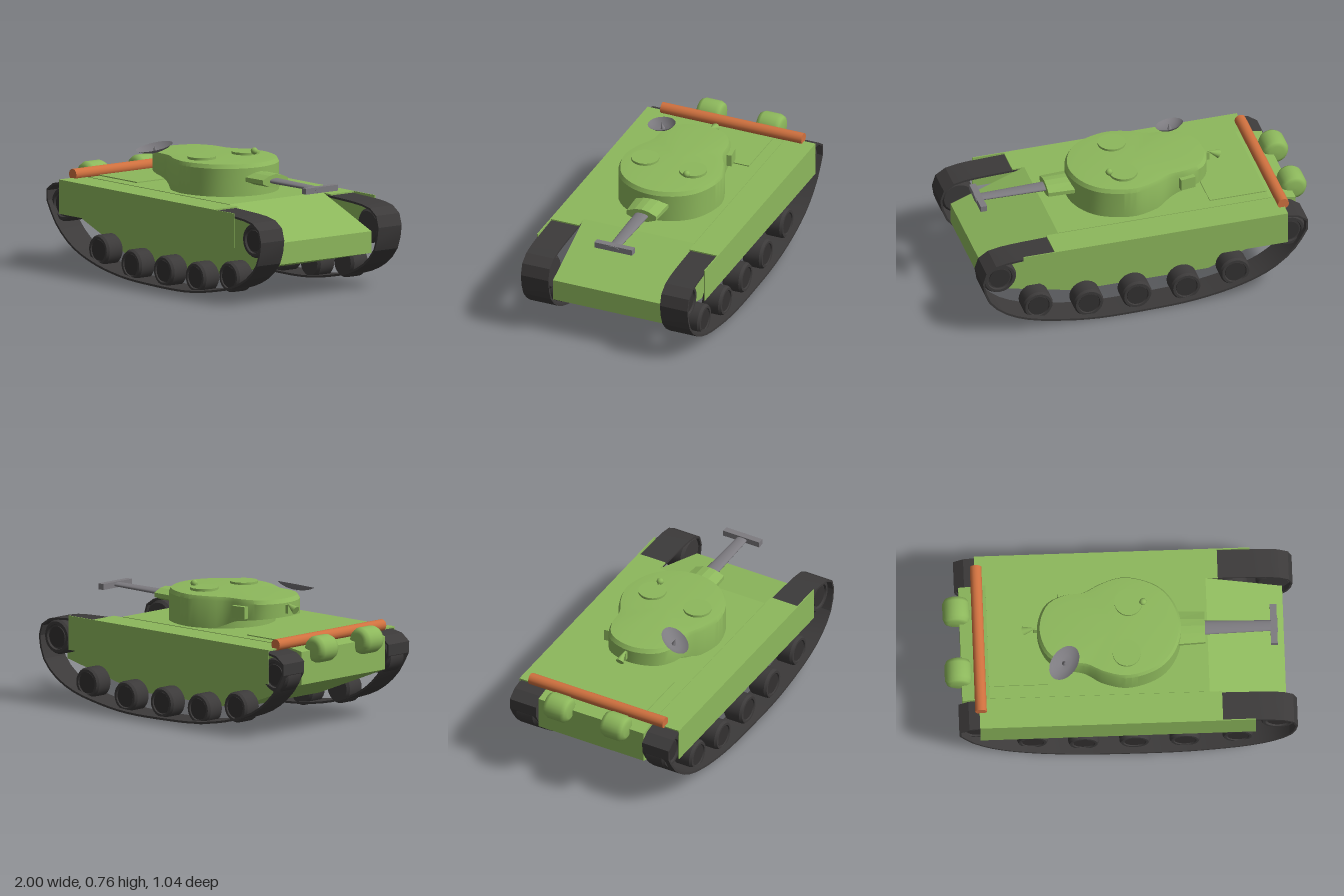
import * as THREE from 'three';
import { toCreasedNormals } from 'three/addons/utils/BufferGeometryUtils.js';

const mat = (color) => {
  const m = new THREE.MeshStandardMaterial({ side: THREE.DoubleSide });
  m.color.set(color);
  return m;
};

export function createModel() {
  const model = new THREE.Group();
  const green = mat(0x8db85c), dark = mat(0x3c3a3a), hubMat = mat(0x333131);
  const grey = mat(0x7d7b80), orange = mat(0xd0713f);

  const add = (name, geo, material, x = 0, y = 0, z = 0, parent = model) => {
    const mesh = new THREE.Mesh(geo, material);
    mesh.name = name;
    mesh.position.set(x, y, z);
    parent.add(mesh);
    return mesh;
  };
  const box = (w, h, d) => new THREE.BoxGeometry(w, h, d);
  const vecs = (pts) => pts.map(([x, y]) => new THREE.Vector2(x, y));
  // outline in x/y, extruded symmetrically along z
  const slab = (shape, depth) =>
    new THREE.ExtrudeGeometry(shape, { depth, bevelEnabled: false }).translate(0, 0, -depth / 2);
  const smoothLoop = (pts, n) =>
    new THREE.CatmullRomCurve3(pts.map(([a, b]) => new THREE.Vector3(a, b, 0)), true)
      .getSpacedPoints(n).slice(0, n);

  // Hull side profile with sloped nose and tail
  add('hull', slab(new THREE.Shape(vecs([
    [-0.905, 0.31], [-0.39, 0.11], [0.4, 0.11], [0.935, 0.23], [0.935, 0.355],
    [0.5, 0.525], [-0.75, 0.525], [-0.905, 0.5],
  ])), 0.685), green);
  add('engineDeck', box(0.335, 0.012, 0.55), green, -0.583, 0.525, -0.005);

  // Track band: closed outline with an inset hole
  const path = smoothLoop([
    [0.995, 0.38], [0.985, 0.43], [0.93, 0.48], [0.57, 0.512], [0, 0.513], [-0.75, 0.51],
    [-0.88, 0.49], [-0.94, 0.43], [-0.91, 0.36], [-0.845, 0.26], [-0.71, 0.15], [-0.52, 0.075],
    [-0.26, 0.026], [0.01, 0.012], [0.33, 0.014], [0.545, 0.042], [0.73, 0.085],
    [0.865, 0.15], [0.96, 0.245],
  ], 60);
  const inner = path.map((p, i) => {
    const t = path[(i + 1) % 60].clone().sub(path[(i + 59) % 60]).normalize();
    return new THREE.Vector2(p.x - t.y * 0.012, p.y + t.x * 0.012);
  });
  const band = new THREE.Shape(path.map((p) => new THREE.Vector2(p.x, p.y)));
  band.holes.push(new THREE.Path(inner));
  const trackGeo = toCreasedNormals(slab(band, 0.17), 0.25);

  // Wheel profile: bevelled tyre with a recessed hub
  const wheelGeo = (r, w) => new THREE.LatheGeometry(vecs([
    [0, -w / 2], [r * 0.85, -w / 2], [r, -w / 2 + 0.015], [r, w / 2 - 0.015],
    [r * 0.9, w / 2], [r * 0.74, w / 2], [r * 0.7, w / 2 - 0.012], [0, w / 2 - 0.012],
  ]), 24).rotateX(Math.PI / 2);
  const roadGeo = toCreasedNormals(wheelGeo(0.088, 0.12), 0.5);
  const endGeo = toCreasedNormals(wheelGeo(0.1, 0.13), 0.5);
  const wheels = [
    [-0.51, 0.148], [-0.22, 0.1], [0.07, 0.1], [0.355, 0.1], [0.655, 0.14],
    [-0.825, 0.375, 1], [0.885, 0.378, 1],
  ];

  for (const s of [1, -1]) {
    const side = new THREE.Group();
    side.name = s > 0 ? 'leftRunningGear' : 'rightRunningGear';
    model.add(side);
    add('track', trackGeo, dark, 0, 0, s * 0.431, side);
    for (const [x, y, end] of wheels) {
      const wheel = add(end ? 'endWheel' : 'roadWheel', end ? endGeo : roadGeo, dark, x, y, s * 0.42, side);
      if (s < 0) wheel.rotation.y = Math.PI;
      add('hubCap', new THREE.CylinderGeometry(0.06, 0.06, 0.01, 24).rotateX(Math.PI / 2),
        hubMat, x, y, s * (end ? 0.475 : 0.47), side);
    }
    add('fender', box(1.38, 0.008, 0.175), green, -0.12, 0.518, s * 0.43, side);
    add('skirt', box(1.565, 0.197, 0.006), green, -0.027, 0.4235, s * 0.517, side);
  }

  // Turret: plan outline lofted upward, bustle floor rising to the rear
  const plan = smoothLoop([
    [0.35, 0], [0.315, 0.14], [0.225, 0.245], [0.04, 0.305], [-0.1, 0.275], [-0.2, 0.225],
    [-0.32, 0.21], [-0.42, 0.15], [-0.47, 0], [-0.42, -0.15], [-0.32, -0.205], [-0.2, -0.22],
    [-0.1, -0.27], [0.04, -0.305], [0.225, -0.245], [0.315, -0.14],
  ], 64);
  const floorY = (x) => (x > -0.13 ? 0.525 : x > -0.26 ? 0.525 + (-0.13 - x) * 0.42 : 0.58 + (-0.26 - x) * 0.12);
  const rings = [
    [0, floorY], [1, floorY], [1, () => 0.685], [0.965, () => 0.708], [0.8, () => 0.713], [0, () => 0.715],
  ];
  const pos = [], idx = [], n = plan.length;
  for (const [k, y] of rings) for (const p of plan) {
    const x = -0.03 + (p.x + 0.03) * k;
    pos.push(x, k ? y(x) : y(-0.03), p.y * k);
  }
  for (let r = 0; r < rings.length - 1; r++) for (let i = 0; i < n; i++) {
    const a = r * n + i, b = r * n + (i + 1) % n;
    idx.push(a, a + n, b, b, a + n, b + n);
  }
  const turretGeo = new THREE.BufferGeometry();
  turretGeo.setAttribute('position', new THREE.Float32BufferAttribute(pos, 3));
  turretGeo.setIndex(idx);
  const turret = new THREE.Group();
  turret.name = 'turret';
  model.add(turret);
  add('turretShell', toCreasedNormals(turretGeo, 0.45), green, 0, 0, 0, turret);
  add('turretRing', new THREE.CylinderGeometry(0.295, 0.295, 0.08, 48), green, 0.035, 0.565, 0, turret);

  // Roof hatches and fittings
  for (const [x, z, top] of [[0.035, 0.165, 0.727], [0.055, -0.14, 0.728]])
    add('roofHatch', new THREE.CylinderGeometry(0.08, 0.08, 0.03, 32), green, x, top - 0.015, z, turret);
  add('periscope', new THREE.SphereGeometry(0.02, 16, 12), green, 0.138, 0.738, -0.136, turret);
  add('periscopeMount', new THREE.CylinderGeometry(0.008, 0.012, 0.03, 10), green, 0.125, 0.72, -0.136, turret);
  add('stowageBox', box(0.09, 0.07, 0.04), green, -0.3, 0.637, -0.215, turret).rotation.y = 0.15;
  add('rearLamp', new THREE.ConeGeometry(0.025, 0.08, 12), green, -0.51, 0.668, -0.015, turret).rotation.z = -1.1;
  add('rearLampArm', box(0.03, 0.05, 0.012), green, -0.475, 0.65, -0.015, turret);

  // Shallow oval dish on the bustle roof
  const dish = new THREE.Group();
  dish.name = 'dish';
  dish.position.set(-0.322, 0.724, 0.215);
  dish.rotation.set(0.27, 0, 0);
  turret.add(dish);
  const bowl = add('dishBowl', new THREE.LatheGeometry(vecs([[0, -0.014], [0.05, -0.008], [0.085, 0.004], [0.107, 0.018]]), 28), grey, 0, 0, 0, dish);
  bowl.scale.z = 0.68;
  bowl.rotation.y = 0.92;
  add('dishFeed', new THREE.ConeGeometry(0.014, 0.04, 10), grey, 0, 0.006, 0, dish);

  // Gun: faceted mantlet, flat oval barrel, wide muzzle crossbar
  const gun = new THREE.Group();
  gun.name = 'gun';
  gun.position.set(0, 0.622, -0.008);
  turret.add(gun);
  const facet = new THREE.Shape(vecs([
    [0.1, 0.012], [0.045, 0.033], [0, 0.039], [-0.045, 0.033], [-0.1, 0.012],
    [-0.1, -0.012], [-0.045, -0.033], [0, -0.039], [0.045, -0.033], [0.1, -0.012],
  ]));
  const mantlet = new THREE.ExtrudeGeometry(facet, { depth: 0.18, bevelEnabled: false }).rotateY(Math.PI / 2);
  const mp = mantlet.attributes.position;
  for (let i = 0; i < mp.count; i++) if (mp.getX(i) > 0.1) mp.setZ(i, mp.getZ(i) * 0.92);
  mantlet.computeVertexNormals();
  add('mantlet', mantlet, green, 0.305, 0, 0, gun);
  const barrel = add('barrel', new THREE.CylinderGeometry(0.032, 0.042, 0.4, 24).rotateZ(-Math.PI / 2), grey, 0.67, 0, 0, gun);
  barrel.scale.y = 0.38;
  add('muzzleBar', box(0.038, 0.034, 0.235), grey, 0.876, 0, -0.005, gun);
  const bore = add('muzzleRing', new THREE.CylinderGeometry(0.042, 0.042, 0.012, 24).rotateZ(Math.PI / 2), grey, 0.892, 0, 0, gun);
  bore.scale.y = 0.38;

  // Rear stowage: log across the deck and two rounded drums
  add('log', new THREE.CylinderGeometry(0.033, 0.033, 0.875, 16).rotateX(Math.PI / 2), orange, -0.802, 0.542, -0.012);
  const drumGeo = new THREE.LatheGeometry(vecs([
    [0, -0.078], [0.045, -0.077], [0.066, -0.068], [0.077, -0.045],
    [0.077, 0.045], [0.066, 0.068], [0.045, 0.077], [0, 0.078],
  ]), 24).rotateX(Math.PI / 2);
  for (const z of [-0.197, 0.173]) add('fuelDrum', drumGeo, green, -0.923, 0.505, z);

  return model;
}
